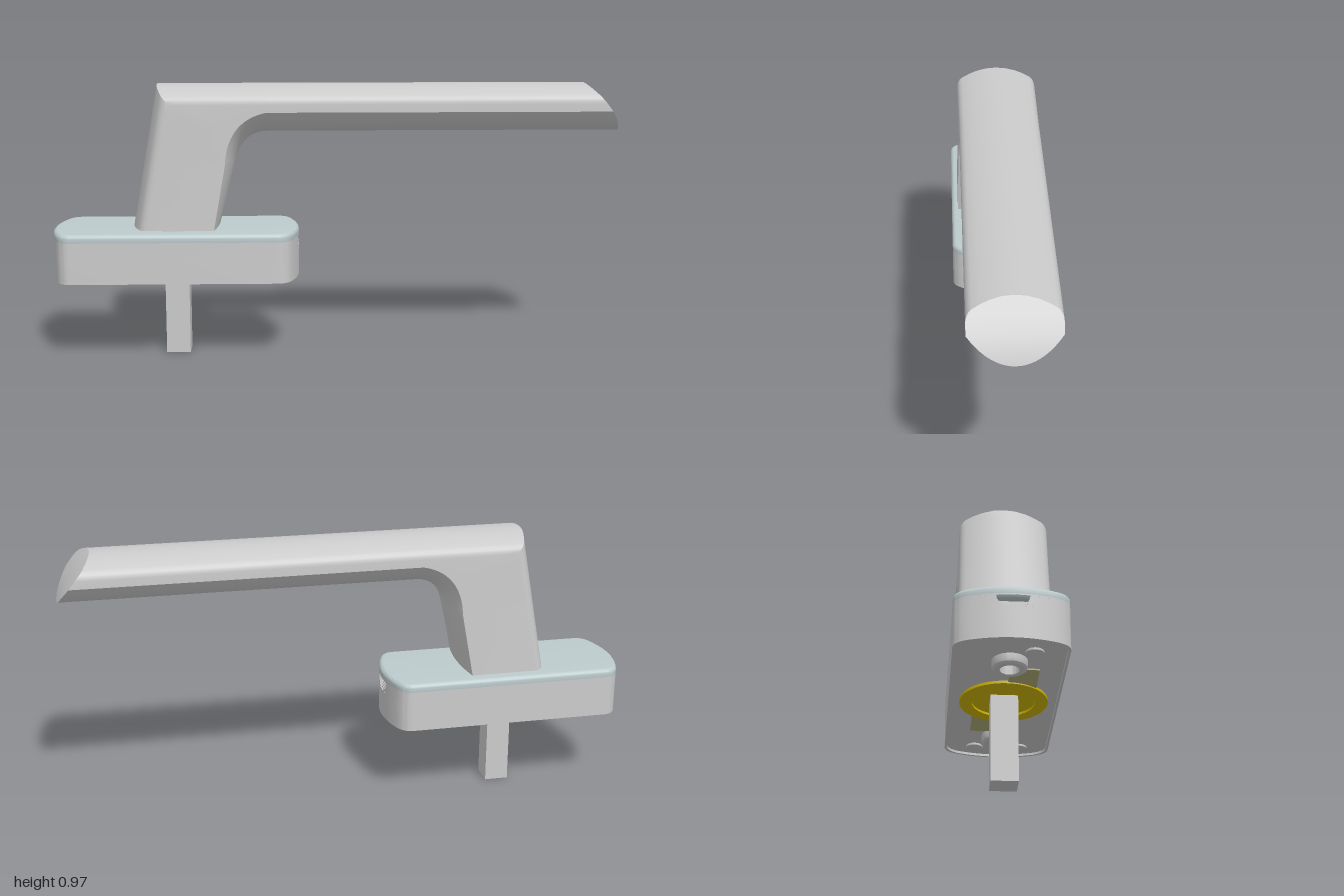
import * as THREE from 'three';
import { toCreasedNormals } from 'three/addons/utils/BufferGeometryUtils.js';

const PIVOT = -0.565, LEFT = -1, RIGHT = -0.13, MID = (LEFT + RIGHT) / 2, HALF = (RIGHT - LEFT) / 2;
const material = (color) => new THREE.MeshStandardMaterial({ color });
const grey = material(0xcccccc), capTint = material(0xbccbcc), gold = material(0xd0b800), olive = material(0xb0ac78);

function add(parent, name, geometry, mat = grey, x = 0, y = 0, z = 0) {
  const mesh = new THREE.Mesh(geometry, mat);
  mesh.name = name;
  mesh.position.set(x, y, z);
  parent.add(mesh);
  return mesh;
}

// Base outline: straight sides, bowed ends, rounded corners, optional finger notch at each end
function outline(notch = 0, depth = 0, inset = 0) {
  const half = HALF - inset, w = 0.175 - inset;
  const bow = (z) => half - 0.02 * (z / 0.12) ** 2;
  const end = [];
  const corner = new THREE.QuadraticBezierCurve(new THREE.Vector2(half - 0.075, -w),
    new THREE.Vector2(half - 0.037, -w), new THREE.Vector2(half - 0.02, -0.12)).getPoints(8);
  end.push(...corner);
  if (notch) {
    for (const z of [-0.09, -0.06, -notch]) end.push(new THREE.Vector2(bow(z), z));
    end.push(new THREE.Vector2(bow(notch) - depth, -notch), new THREE.Vector2(bow(notch) - depth, notch));
    for (const z of [notch, 0.06, 0.09]) end.push(new THREE.Vector2(bow(z), z));
  } else {
    for (let i = 1; i < 12; i++) end.push(new THREE.Vector2(bow(-0.12 + i * 0.02), -0.12 + i * 0.02));
  }
  end.push(...corner.map((p) => new THREE.Vector2(p.x, -p.y)).reverse());
  return end.concat(end.map((p) => new THREE.Vector2(-p.x, -p.y)));
}

function slab(points, y0, y1, options = {}, hole) {
  const shape = new THREE.Shape(points);
  if (hole) shape.holes.push(new THREE.Path(hole));
  const g = new THREE.ExtrudeGeometry(shape, { depth: y1 - y0, bevelEnabled: false, ...options });
  g.rotateX(-Math.PI / 2).translate(MID, y0, 0);
  return toCreasedNormals(g, 0.5);
}

function lathe(points, segments = 40) {
  return toCreasedNormals(new THREE.LatheGeometry(points.map(([r, y]) => new THREE.Vector2(r, y)), segments), 0.5);
}

// One-piece grip and neck, lofted through sections that turn a mitred corner
function leverGeometry() {
  const corner = new THREE.Vector2(-0.625, 0.967);
  const backX = (y) => corner.x - 0.181 * (corner.y - y);
  const stations = [];
  const station = (inner, outer, slide, normal, bow, w) => stations.push({ inner, outer, slide, normal, bow, w });
  const V = (x, y) => new THREE.Vector2(x, y);

  station(V(-0.41, 0.47), V(backX(0.47), 0.47), V(1, 0), V(-1, 0), 0.015, 0.152);
  const fillet = new THREE.QuadraticBezierCurve(V(-0.355, 0.69), V(-0.327, 0.8), V(-0.24, 0.8));
  const N = 16;
  for (let i = 0; i <= N; i++) {
    const t = i / N, k = Math.min(1, 2 * t), m = Math.max(0, 2 * t - 1);
    const y = THREE.MathUtils.lerp(0.72, corner.y, k);
    const outer = t <= 0.5 ? V(backX(y), y) : V(THREE.MathUtils.lerp(corner.x, -0.24, m), corner.y);
    const slide = V(1, 0).lerp(V(0.819, -1), k).lerp(V(0, -1), m);
    const tangent = fillet.getTangent(t);
    station(fillet.getPoint(t), outer, slide, V(-tangent.y, tangent.x),
      THREE.MathUtils.lerp(0.03, 0.08, t), THREE.MathUtils.lerp(0.147, 0.143, t));
  }
  station(V(1, 0.8), V(1, corner.y), V(0, -1), V(0, 1), 0.08, 0.143);

  // Half section from the inner centre line to the outer one: [z share, depth below outer]
  const outerHalf = [[1, 0.06], [0.995, 0.05], [0.97, 0.042], [0.93, 0.034], [0.87, 0.028],
    [0.7, 0.018], [0.5, 0.009], [0.25, 0.002], [0, 0]];
  const ARC = 10, H = ARC + outerHalf.length, n = 2 * H;
  const pos = [], idx = [];
  stations.forEach((s, si) => {
    const half = [];
    for (let j = 0; j <= ARC; j++) {
      const u = j / ARC, p = s.inner.clone().addScaledVector(s.normal, s.bow * u * u);
      half.push([p.x, p.y, u * s.w]);
    }
    for (const [u, d] of outerHalf) {
      const p = s.outer.clone().addScaledVector(s.slide, d);
      half.push([p.x, p.y, u * s.w]);
    }
    // Slanted, slightly rounded tip
    if (si === stations.length - 1) for (const p of half) {
      const t = (p[1] - 0.8) / 0.167;
      p[0] = 1 - 0.12 * t + 0.06 * t * (1 - t);
    }
    for (let j = 0; j < n; j++) {
      const [x, y, z] = half[j <= H ? j : n - j];
      pos.push(x, y, j <= H ? z : -z);
    }
  });
  const last = stations.length - 1;
  for (let i = 0; i < last; i++) for (let j = 0; j < n; j++) {
    const a = i * n + j, b = i * n + (j + 1) % n;
    idx.push(a, a + n, b + n, a, b + n, b);
  }
  const cap = (base, flip) => {
    const tri = (a, b, c) => {
      if (a !== b && b !== c && a !== c) idx.push(base + a, base + (flip ? c : b), base + (flip ? b : c));
    };
    for (let k = 0; k < H; k++) {
      const m0 = (n - k) % n, m1 = n - k - 1;
      tri(m0, m1, k);
      tri(k, m1, k + 1);
    }
  };
  cap(0, true);
  cap(last * n, false);
  const g = new THREE.BufferGeometry();
  g.setAttribute('position', new THREE.Float32BufferAttribute(pos, 3));
  g.setIndex(idx);
  return toCreasedNormals(g, 0.5);
}

export function createModel() {
  const model = new THREE.Group();
  model.name = 'windowHandle';

  // Base housing with a half-moon finger notch at each end
  const base = new THREE.Group();
  base.name = 'base';
  model.add(base);
  add(base, 'baseRim', slab(outline(), 0.285, 0.293, {}, outline(0, 0, 0.008).reverse()));
  add(base, 'baseBody', slab(outline(), 0.293, 0.385));
  const layers = 8, y0 = 0.385, y1 = 0.427, dy = (y1 - y0) / layers;
  for (let i = 0; i < layers; i++) {
    const t = (i + 0.5) / layers, y = y0 + i * dy;
    add(base, 'notchLayer', slab(outline(0.05 * Math.sqrt(1 - (1 - t) ** 2), 0.004 + 0.022 * t), y, y + dy));
  }
  add(base, 'baseTop', slab(outline(), y1, 0.432));
  add(base, 'coverCap', slab(outline(), 0.432, 0.446,
    { bevelEnabled: true, bevelThickness: 0.014, bevelSize: 0.014, bevelOffset: -0.014, bevelSegments: 4 }), capTint);

  // Lever and its collar
  add(model, 'collar', new THREE.CylinderGeometry(0.115, 0.115, 0.03, 48), grey, PIVOT, 0.46);
  add(model, 'lever', leverGeometry());

  // Square spindle
  add(model, 'spindle', new THREE.BoxGeometry(0.085, 0.32, 0.087), grey, PIVOT, 0.16);

  // Underside fittings
  add(model, 'bearingRing', lathe([[0, 0.2915], [0.1, 0.2915], [0.1, 0.284], [0.14, 0.284], [0.14, 0.295]], 48),
    gold, PIVOT).material.side = THREE.DoubleSide;
  for (const s of [-1, 1]) {
    add(model, 'bearingTab', new THREE.BoxGeometry(0.12, 0.006, 0.09), olive, PIVOT + s * 0.165, 0.291, -s * 0.05);
    const boss = add(model, 'screwBoss', lathe([[0.03, 0.295], [0.03, 0.263], [0.046, 0.263], [0.053, 0.268],
      [0.055, 0.275], [0.055, 0.295]]), grey, PIVOT + s * 0.27);
    boss.material = material(0xcccccc);
    boss.material.side = THREE.DoubleSide;
  }
  for (const [x, z] of [[-0.205, 0.075], [-0.205, -0.075], [-0.9, 0.07]]) {
    add(model, 'locatingPin', new THREE.CylinderGeometry(0.028, 0.028, 0.01, 24), grey, x, 0.291, z);
  }
  return model;
}
